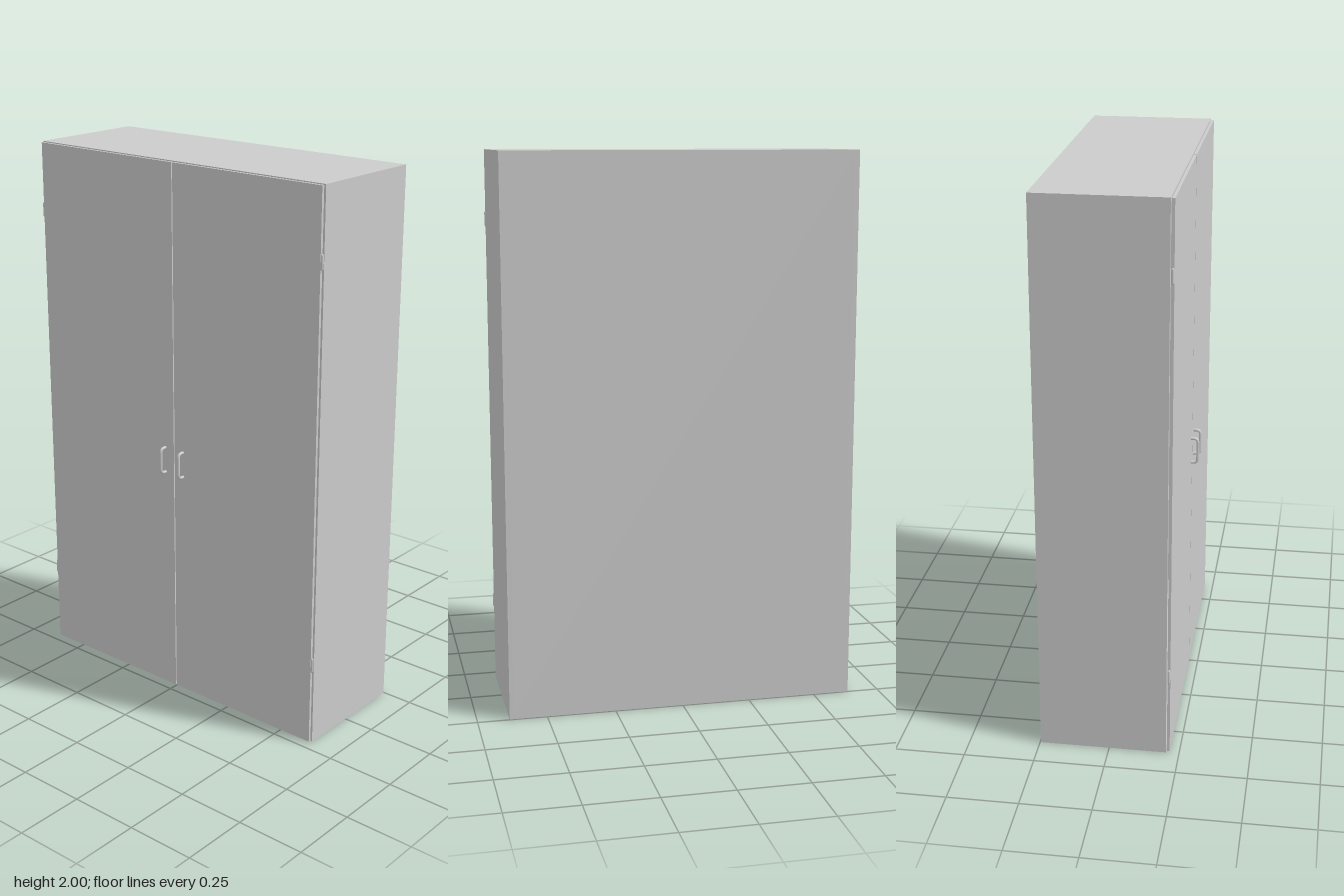
import * as THREE from 'three';

const material = new THREE.MeshStandardMaterial({ color: 0xcccccc });

// Overall sizes of the cabinet
const W = 1.27, H = 2, T = 0.018;
const BACK = -0.247, FRONT = 0.203, DOOR_BACK = 0.206, DOOR_FRONT = 0.216;

function add(parent, name, geometry, x = 0, y = 0, z = 0) {
  const mesh = new THREE.Mesh(geometry, material);
  mesh.name = name;
  mesh.position.set(x, y, z);
  parent.add(mesh);
  return mesh;
}

function box(parent, name, w, h, d, x, y, z) {
  return add(parent, name, new THREE.BoxGeometry(w, h, d), x, y, z);
}

// Bent bar handle: two legs joined to a vertical grip by rounded corners
function handleGeometry() {
  const bottom = 0.866, top = 0.96, out = 0.241, r = 0.016;
  const v = (y, z) => new THREE.Vector3(0, y, z);
  const path = new THREE.CurvePath();
  path.add(new THREE.LineCurve3(v(bottom, DOOR_BACK), v(bottom, out - r)));
  path.add(new THREE.QuadraticBezierCurve3(v(bottom, out - r), v(bottom, out), v(bottom + r, out)));
  path.add(new THREE.LineCurve3(v(bottom + r, out), v(top - r, out)));
  path.add(new THREE.QuadraticBezierCurve3(v(top - r, out), v(top, out), v(top, out - r)));
  path.add(new THREE.LineCurve3(v(top, out - r), v(top, DOOR_BACK)));
  return new THREE.TubeGeometry(path, 64, 0.0055, 12, false);
}

// Hinge barrel with chamfered ends
function hingeGeometry() {
  const profile = [[0, -0.027], [0.003, -0.027], [0.005, -0.022],
    [0.005, 0.022], [0.003, 0.027], [0, 0.027]];
  return new THREE.LatheGeometry(profile.map(([x, y]) => new THREE.Vector2(x, y)), 16);
}

export function createModel() {
  const model = new THREE.Group();
  model.name = 'cabinet';
  const depth = FRONT - BACK, midZ = (FRONT + BACK) / 2;

  // Carcass panels
  const carcass = new THREE.Group();
  carcass.name = 'carcass';
  model.add(carcass);
  box(carcass, 'topPanel', W, T, depth, 0, H - T / 2, midZ);
  box(carcass, 'bottomPanel', W, T, depth, 0, T / 2, midZ);
  box(carcass, 'backPanel', W - 2 * T, H - 2 * T, T, 0, H / 2, BACK + T / 2);

  const handle = handleGeometry(), hinge = hingeGeometry();
  for (const [side, s] of [['left', 1], ['right', -1]]) {
    box(carcass, side + 'SidePanel', T, H - 2 * T, depth, s * (W - T) / 2, H / 2, midZ);

    // Door with its handle and two hinges
    const door = new THREE.Group();
    door.name = side + 'DoorAssembly';
    model.add(door);
    const inner = 0.002, outer = 0.63;
    box(door, side + 'Door', outer - inner, H - 0.006, DOOR_FRONT - DOOR_BACK,
      s * (inner + outer) / 2, H / 2, (DOOR_BACK + DOOR_FRONT) / 2);
    add(door, side + 'Handle', handle, s * 0.042);
    add(door, side + 'LowerHinge', hinge, s * 0.633, 0.308, 0.211);
    add(door, side + 'UpperHinge', hinge, s * 0.633, 1.75, 0.211);
  }
  return model;
}
